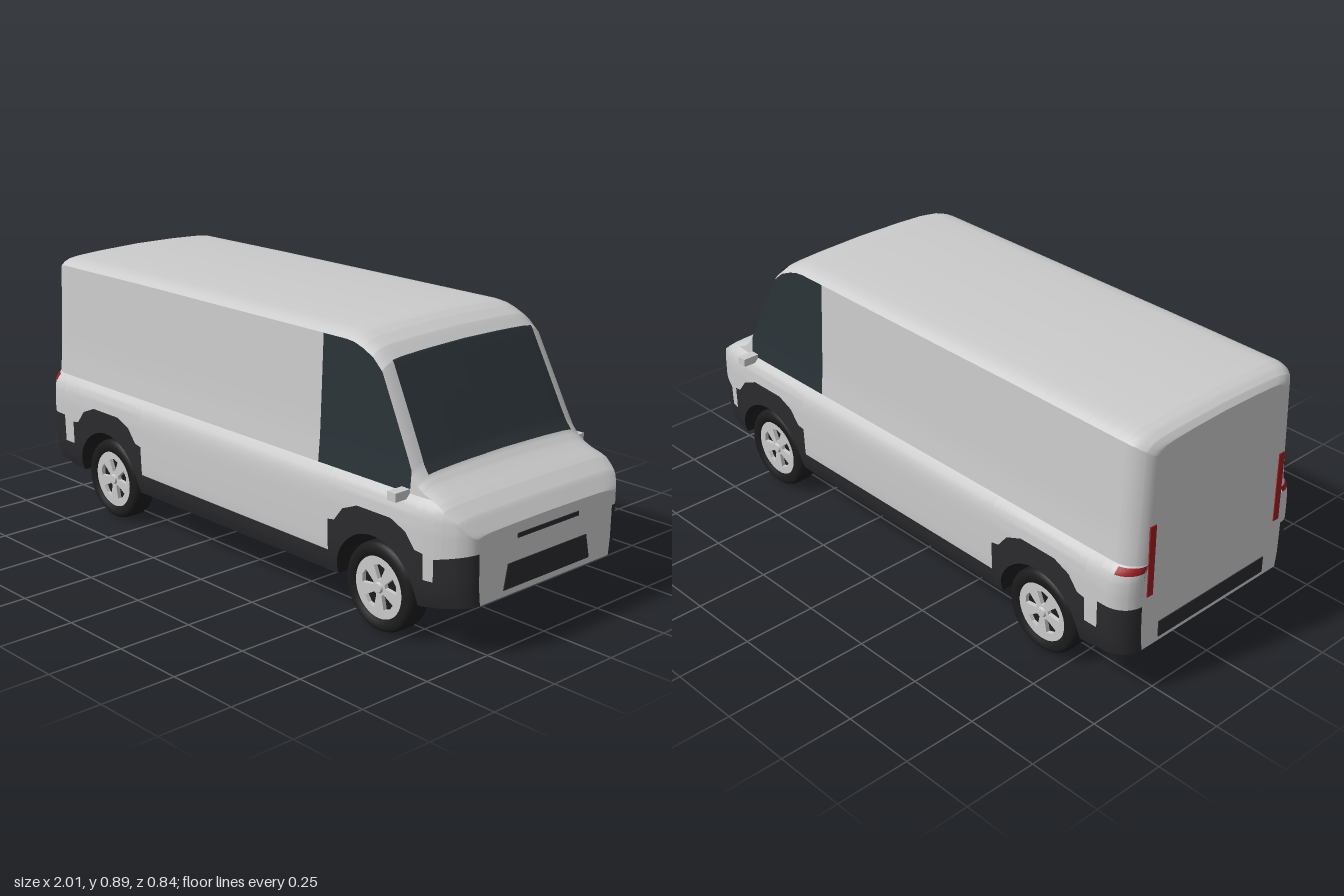
import * as THREE from 'three';

const mat = (color) => new THREE.MeshStandardMaterial({ color, side: THREE.DoubleSide });
const GREY = mat(0xcccccc), DARK = mat(0x2b2b2e), GLASS = mat(0x2b3338), RED = mat(0x9c1c22), BLACK = mat(0x1c1c1c);
const WHEELS = [-0.647, 0.668], ARCH = 0.165;

// Piecewise linear lookup in a list of [input, output] pairs
function lookup(table, t) {
  if (t <= table[0][0]) return table[0][1];
  for (let i = 1; i < table.length; i++) {
    const [a, p] = table[i - 1], [b, q] = table[i];
    if (t <= b) return p + (q - p) * (t - a) / (b - a);
  }
  return table[table.length - 1][1];
}

// Centre line of nose, windscreen and roof
const TOP = [[-1, .85], [-.985, .866], [-.96, .878], [-.93, .883], [-.5, .888], [.5, .893], [.53, .89], [.565, .88], [.61, .86],
  [.65, .825], [.72, .69], [.79, .553], [.815, .52], [.84, .5], [.87, .483], [.92, .457], [.965, .425], [1, .382]];
// Half width by height
const WIDTH = [[.13, .368], [.17, .381], [.22, .388], [.3, .39], [.38, .39], [.42, .387], [.445, .379], [.465, .36],
  [.55, .352], [.7, .345], [.86, .338]];
const BASE = [[-1, .165], [-.82, .135], [.84, .138], [1, .165]];
// Upper edge of the dark cladding
const CLAD = [[-1, .325], [-.893, .325], [-.892, .23]];
const ARCH_EDGE = [[-.196, .23], [-.195, .31], [-.166, .315], [-.13, .36], [-.07, .385], [.07, .385], [.13, .36],
  [.166, .315], [.195, .31], [.196, .23]];
WHEELS.forEach((c, k) => {
  ARCH_EDGE.forEach(([dx, y], i) => {
    const inner = k === 0 ? i === 9 : i === 0;
    CLAD.push([c + dx, inner ? .21 : y]);
  });
});
CLAD.push([.897, .23], [.898, .3], [1, .325]);

const top = (x) => lookup(TOP, x);
const edge = (x) => top(x) - (x > .8 ? Math.max(.012, .033 - (x - .8) * .2) : .033);
const shoulder = (x) => Math.min(.465, edge(x));
const clad = (x) => lookup(CLAD, x);
function bottom(x) {
  for (const c of WHEELS) {
    const d = Math.abs(x - c);
    if (d < ARCH) return .145 + Math.sqrt(ARCH * ARCH - d * d);
  }
  return lookup(BASE, x);
}
// Half width with rounded corners in plan
function width(x, y) {
  const u = x > 0 ? Math.max(0, (x - .8) / .2) : Math.max(0, (-.92 - x) / .08);
  const round = 1 - Math.sqrt(Math.max(0, 1 - u * u));
  return lookup(WIDTH, y) * (1 - (x > 0 ? .24 : .19) * round);
}
const CROWN = [[0, 0], [.5, .1], [.8, .25], [.9, .4], [.96, .65], [1, 1]];
const crown = (x, v) => top(x) - (top(x) - edge(x)) * lookup(CROWN, Math.abs(v));

const range = (a, b, n) => Array.from({ length: n + 1 }, (_, i) => a + (b - a) * i / n);
const V = [...CROWN.map((p) => p[0]).reverse(), ...CROWN.slice(1).map((p) => -p[0])];

// Stations along the body
const ends = range(0, Math.PI / 2, 12).map(Math.sin);
const STATIONS = [...range(-.9, .8, 34), ...TOP.map((p) => p[0]), ...CLAD.map((p) => p[0]), .4, .785,
  ...ends.map((s) => .8 + .2 * s), ...ends.map((s) => -.92 - .08 * s),
  ...WHEELS.flatMap((c) => range(0, Math.PI, 24).map((a) => c + ARCH * Math.cos(a)))]
  .sort((a, b) => a - b).filter((x, i, s) => i === 0 || x - s[i - 1] > 1e-4);
const between = (a, b) => [a, ...STATIONS.filter((x) => x > a + 1e-4 && x < b - 1e-4), b];

// Surface over a grid of u and v; the front faces along du x dv
function surface(us, vs, fn) {
  const pos = [], index = [], n = vs.length;
  us.forEach((u) => vs.forEach((v) => pos.push(...fn(u, v))));
  for (let i = 0; i < us.length - 1; i++) for (let j = 0; j < n - 1; j++) {
    const a = i * n + j, b = a + n;
    index.push(a, b, b + 1, a, b + 1, a + 1);
  }
  const g = new THREE.BufferGeometry();
  g.setAttribute('position', new THREE.Float32BufferAttribute(pos, 3));
  g.setIndex(index);
  g.computeVertexNormals();
  return g;
}

function add(parent, name, geometry, material) {
  const m = new THREE.Mesh(geometry, material);
  m.name = name;
  parent.add(m);
  return m;
}

// Matching pieces of both body sides between two height curves
function sides(parent, name, material, x0, x1, low, high, rows = 10, lift = 0) {
  for (const s of [1, -1]) {
    const xs = between(x0, x1);
    if (s < 0) xs.reverse();
    add(parent, name, surface(xs, range(0, 1, rows), (x, t) => {
      const y = low(x) + (high(x) - low(x)) * t;
      return [x, y, s * (width(x, y) + lift)];
    }), material);
  }
}

// Flat panel on an end of the van, outline in z and y
function endPanel(parent, name, material, outline, x) {
  const g = new THREE.ExtrudeGeometry(new THREE.Shape(outline.map((p) => new THREE.Vector2(...p))), { depth: .006, bevelEnabled: false });
  g.rotateY(Math.PI / 2).translate(x - .003, 0, 0);
  add(parent, name, g, material);
}
const rect = (z0, z1, y0, y1) => [[z0, y0], [z1, y0], [z1, y1], [z0, y1]];

function makeWheel() {
  const wheel = new THREE.Group();
  wheel.name = 'wheel';
  const profile = [[.095, -.043], [.125, -.045], [.136, -.035], [.14, -.025], [.14, .025], [.136, .035], [.125, .045], [.1, .043], [.096, .03], [.096, -.03], [.095, -.043]];
  const tyre = new THREE.LatheGeometry(profile.map((p) => new THREE.Vector2(...p)), 40);
  add(wheel, 'tyre', tyre.rotateX(Math.PI / 2), BLACK);
  add(wheel, 'wheelBack', new THREE.CylinderGeometry(.097, .097, .05, 32).rotateX(Math.PI / 2).translate(0, 0, -.012), BLACK);
  // Pierced rim face
  const face = new THREE.Shape().absarc(0, 0, .098, 0, Math.PI * 2);
  for (let i = 0; i < 5; i++) {
    const a = i * Math.PI * 2 / 5 + Math.PI / 2;
    const p = (r, d) => new THREE.Vector2(r * Math.cos(a + d), r * Math.sin(a + d));
    face.holes.push(new THREE.Path([p(.026, -.2), p(.07, -.34), p(.074, 0), p(.07, .34), p(.026, .2)]));
  }
  add(wheel, 'rim', new THREE.ExtrudeGeometry(face, { depth: .014, bevelEnabled: false, curveSegments: 32 }).translate(0, 0, .022), GREY);
  add(wheel, 'hubCap', new THREE.CylinderGeometry(.014, .018, .008, 20).rotateX(Math.PI / 2).translate(0, 0, .039), GREY);
  return wheel;
}

export function createModel() {
  const van = new THREE.Group();
  van.name = 'van';

  // Body sides
  sides(van, 'cladding', DARK, -1, 1, bottom, clad, 6);
  sides(van, 'lowerSide', GREY, -1, 1, clad, shoulder, 14);
  sides(van, 'cargoSide', GREY, -1, .4, shoulder, edge);
  sides(van, 'sideWindow', GLASS, .4, .785, shoulder, edge);
  sides(van, 'frontPillarFoot', GREY, .785, 1, shoulder, edge);
  sides(van, 'sideMarker', RED, -1, -.945, () => .44, () => .461, 3, .003);

  // Roof, nose and windscreen
  const roofPoint = (x, v) => [x, crown(x, v), v * width(x, edge(x))];
  add(van, 'roofAndBonnet', surface(between(-1, 1), V, roofPoint), GREY);
  add(van, 'windscreen', surface(between(.645, .81), range(.885, -.885, 16), (x, v) => {
    const [, y, z] = roofPoint(x, v);
    return [x + .005, y + .003, z];
  }), GLASS);

  // Underside with wheel wells
  add(van, 'underside', surface(between(-1, 1), [-1, 1], (x, v) => [x, bottom(x), v * width(x, bottom(x))]), BLACK);

  // End faces
  const endPoint = (x, t, v) => {
    const y = bottom(x) + (crown(x, v) - bottom(x)) * t;
    return [x, y, v * width(x, Math.min(y, edge(x)))];
  };
  const up = range(0, 1, 24), across = [...V].reverse();
  add(van, 'frontFace', surface(up, across, (t, v) => endPoint(1, t, v)), GREY);
  add(van, 'rearFace', surface(across, up, (v, t) => endPoint(-1, t, v)), GREY);
  endPanel(van, 'grille', DARK, [[-.192, .185], [.192, .185], [.175, .263], [-.175, .263]], 1);
  endPanel(van, 'frontSlot', DARK, rect(-.136, .136, .333, .347), 1);
  endPanel(van, 'rearBumper', DARK, rect(-.24, .24, .18, .235), -1);
  for (const s of [1, -1]) {
    endPanel(van, 'tailLight', RED, rect(s * .287 - .012, s * .287 + .012, .35, .59), -1);
    // Door mirrors
    add(van, 'mirror', new THREE.BoxGeometry(.034, .027, .06), GREY).position.set(.768, .464, s * .388);
    // Wheels
    for (const x of WHEELS) {
      const wheel = makeWheel();
      wheel.position.set(x, .14, s * .327);
      if (s < 0) wheel.rotation.y = Math.PI;
      van.add(wheel);
    }
  }
  return van;
}
